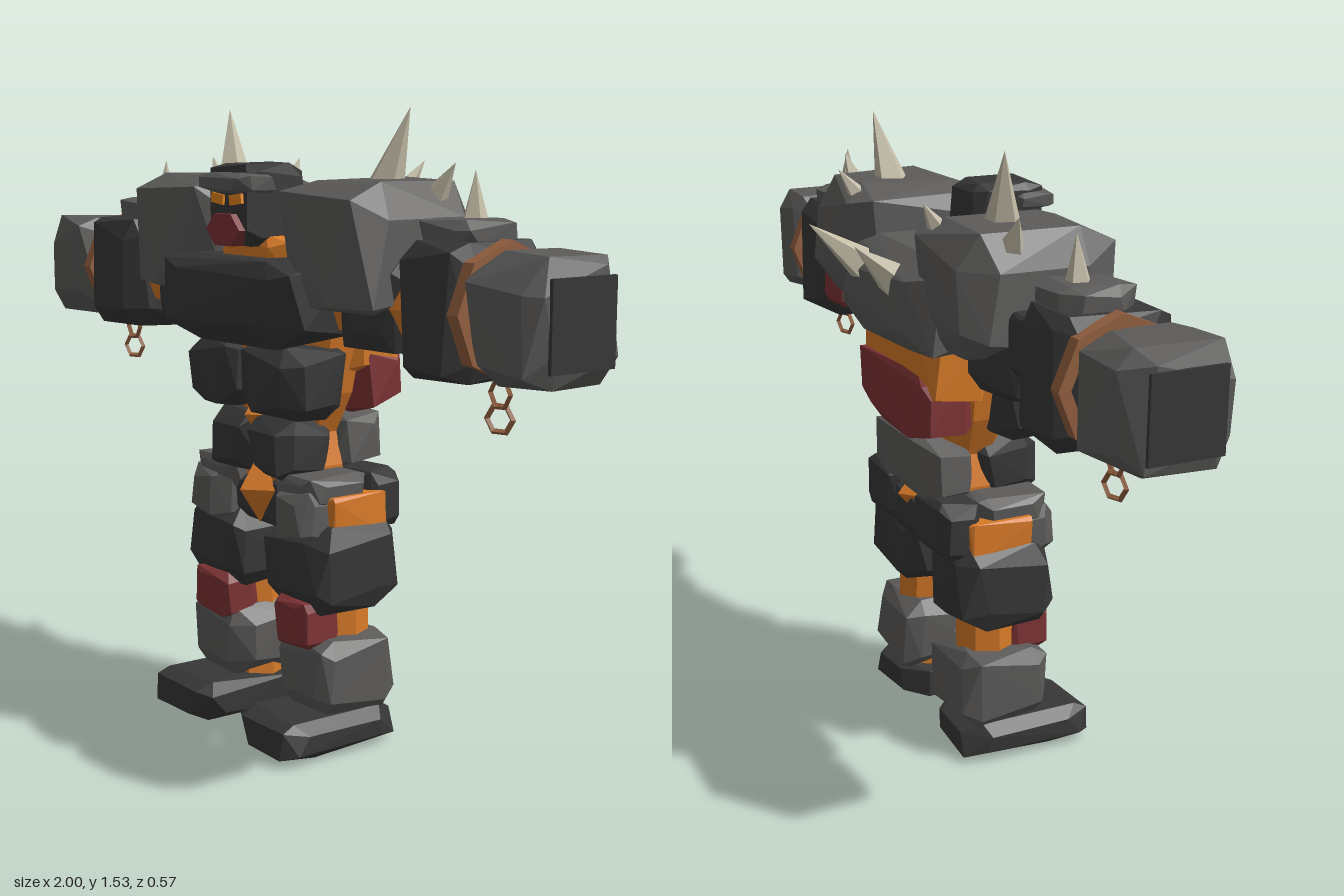
import * as THREE from 'three';
import { ConvexGeometry } from 'three/addons/geometries/ConvexGeometry.js';

const paint = (name, color) => {
  const m = new THREE.MeshStandardMaterial({ color, flatShading: true });
  m.name = name;
  return m;
};

function seeded(seed) {
  let s = seed * 7919 + 17;
  return () => (s = (s * 16807) % 2147483647) / 2147483647;
}

export function createModel() {
  const model = new THREE.Group();
  model.name = 'rockGolem';
  const dark = paint('darkRock', 0x373737);
  const grey = paint('greyRock', 0x5c5b5a);
  const red = paint('redRock', 0x7e3335);
  const lava = paint('lavaOrange', 0xd77a28);
  const bone = paint('bone', 0xc4bda8);
  const copper = paint('copper', 0x936040);
  const glow = paint('eyeGlow', 0xe8861c);

  const add = (name, geometry, material) => {
    const mesh = new THREE.Mesh(geometry, material);
    mesh.name = name;
    model.add(mesh);
    return mesh;
  };

  // Chipped boulder: hull of a box whose corners are cut off unevenly
  let count = 0;
  function rock(name, material, x, y, z, side = 1, chip = 0.2) {
    const rnd = seeded(++count);
    for (let i = 0; i < 5; i++) rnd();
    const lo = [x[0], y[0], z[0]], hi = [x[1], y[1], z[1]];
    const points = [];
    for (let corner = 0; corner < 8; corner++) {
      for (let face = 0; face < 3; face++) {
        const p = lo.map((_, a) => {
          const size = hi[a] - lo[a];
          const inset = size * (a === face ? 0.035 * rnd() : chip * (0.4 + 1.2 * rnd()));
          return (corner >> a) & 1 ? hi[a] - inset : lo[a] + inset;
        });
        points.push(new THREE.Vector3(p[0] * side, p[1], p[2]));
      }
    }
    return add(name, new ConvexGeometry(points), material);
  }

  // Cylinder or cone running from a to b
  function limb(name, material, a, b, r0, r1, sides) {
    const from = new THREE.Vector3(...a), to = new THREE.Vector3(...b);
    const dir = to.clone().sub(from);
    const mesh = add(name, new THREE.CylinderGeometry(r1, r0, dir.length(), sides), material);
    mesh.position.copy(from).add(to).multiplyScalar(0.5);
    mesh.quaternion.setFromUnitVectors(new THREE.Vector3(0, 1, 0), dir.normalize());
    return mesh;
  }

  function gem(y, z, w, h, d) {
    const mesh = add('lavaGem', new THREE.OctahedronGeometry(1, 0), lava);
    mesh.scale.set(w, h, d);
    mesh.position.set(0, y, z);
  }

  // Head
  rock('head', dark, [-0.088, 0.088], [1.21, 1.41], [0.05, 0.235], 1, 0.15);
  rock('brow', grey, [-0.1, 0.1], [1.335, 1.385], [0.15, 0.262]);
  const jaw = add('jaw', new THREE.CylinderGeometry(0.07, 0.07, 0.12, 6), red);
  jaw.rotation.x = Math.PI / 2;
  jaw.rotation.y = Math.PI / 2;
  jaw.scale.x = 0.62;
  jaw.position.set(0, 1.25, 0.19);
  for (const s of [-1, 1]) {
    const eye = add('eye', new THREE.BoxGeometry(0.05, 0.024, 0.009), glow);
    eye.position.set(0.038 * s, 1.322, 0.235);
    eye.rotation.z = 0.12 * s;
  }
  limb('neck', lava, [0, 1.1, 0.045], [0, 1.29, 0.05], 0.1, 0.07, 8);

  // Molten core showing between the boulders
  const core = [[0.001, 0.56], [0.15, 0.56], [0.16, 0.68], [0.14, 0.76], [0.19, 0.86],
    [0.22, 1.0], [0.2, 1.12], [0.1, 1.22], [0.001, 1.22]];
  const coreMesh = add('lavaCore',
    new THREE.LatheGeometry(core.map(p => new THREE.Vector2(...p)), 10), lava);
  coreMesh.scale.z = 0.68;
  coreMesh.position.z = 0.04;
  rock('collarLava', lava, [-0.13, 0.13], [1.12, 1.24], [0.04, 0.19]);
  rock('backLava', lava, [-0.22, 0.23], [0.9, 1.09], [-0.128, 0.02], 1, 0.12);

  // Torso
  rock('chest', dark, [-0.28, 0.28], [0.975, 1.19], [0.02, 0.265], 1, 0.18);
  rock('upperBack', grey, [-0.3, 0.3], [1.04, 1.275], [-0.19, 0.07], 1, 0.22);
  rock('midBack', red, [-0.21, 0.23], [0.8, 0.99], [-0.138, 0.0]);
  rock('lowerBack', grey, [-0.17, 0.17], [0.655, 0.815], [-0.12, 0.02]);
  rock('pelvis', dark, [-0.19, 0.19], [0.51, 0.66], [-0.1, 0.15]);
  gem(0.615, 0.145, 0.066, 0.09, 0.06);
  gem(0.8, 0.14, 0.06, 0.07, 0.05);
  gem(0.94, 0.14, 0.055, 0.08, 0.05);
  gem(0.635, -0.085, 0.04, 0.04, 0.035);

  for (const s of [1, -1]) {
    count = 20; // same chips on both sides
    // Belly
    rock('upperBelly', dark, [0.004, 0.24], [0.805, 0.985], [0.04, 0.225], s, 0.2);
    rock('lowerBelly', dark, [0.004, 0.165], [0.65, 0.805], [0.03, 0.2], s, 0.2);

    // Leg
    rock('hipGuard', grey, [0.1, 0.25], [0.505, 0.645], [0.06, 0.2], s);
    rock('hipTop', grey, [0.08, 0.255], [0.59, 0.675], [-0.01, 0.185], s);
    rock('hipBack', dark, [0.06, 0.255], [0.53, 0.675], [-0.11, 0.01], s);
    rock('hipLava', lava, [0.1, 0.27], [0.52, 0.628], [-0.045, 0.125], s, 0.08);
    rock('thigh', dark, [0.045, 0.295], [0.34, 0.562], [-0.08, 0.185], s, 0.2);
    limb('kneeLava', lava, [0.175 * s, 0.22, 0.04], [0.175 * s, 0.4, 0.04], 0.08, 0.075, 8);
    rock('kneeCap', red, [0.1, 0.245], [0.255, 0.375], [0.075, 0.192], s, 0.16);
    rock('shin', grey, [0.06, 0.292], [0.09, 0.285], [-0.068, 0.17], s, 0.18);
    limb('ankleLava', lava, [0.165 * s, 0.06, 0.05], [0.165 * s, 0.13, 0.05], 0.085, 0.085, 8);
    rock('foot', dark, [0.06, 0.305], [0, 0.1], [-0.068, 0.285], s, 0.2);

    // Arm
    rock('shoulder', grey, [0.13, 0.49], [1.07, 1.375], [-0.165, 0.22], s, 0.2);
    limb('armLava', lava, [0.18 * s, 1.09, 0.045], [0.75 * s, 1.1, 0.045], 0.09, 0.085, 8);
    rock('upperArm', dark, [0.28, 0.52], [0.99, 1.2], [-0.08, 0.14], s);
    rock('elbow', dark, [0.42, 0.56], [1.06, 1.21], [-0.07, 0.045], s, 0.12);
    if (s > 0) rock('elbowPlate', red, [0.42, 0.545], [1.01, 1.17], [-0.1, 0.0], s, 0.14);
    rock('forearm', dark, [0.54, 0.76], [0.95, 1.255], [-0.095, 0.185], s, 0.15);
    rock('forearmCap', grey, [0.55, 0.72], [1.225, 1.3], [-0.06, 0.13], s);
    rock('fist', grey, [0.77, 0.998], [0.965, 1.245], [-0.075, 0.195], s, 0.19);
    const knuckles = add('knuckleFace', new THREE.BoxGeometry(0.009, 0.19, 0.18), dark);
    knuckles.position.set(0.9955 * s, 1.105, 0.06);

    // Wrist band with two hanging links
    const profile = [[0.12, -0.017], [0.15, -0.017], [0.15, 0.017], [0.12, 0.017], [0.12, -0.017]];
    const band = add('wristBand',
      new THREE.LatheGeometry(profile.map(p => new THREE.Vector2(...p)), 8), copper);
    band.rotation.z = Math.PI / 2;
    band.position.set(0.758 * s, 1.11, 0.045);
    [0.935, 0.88].forEach((y, i) => {
      const link = add('chainLink', new THREE.TorusGeometry(0.031, 0.007, 4, 6), copper);
      link.position.set(0.752 * s, y, 0.05);
      link.rotation.y = i * 0.35;
    });

    // Spikes: base, tip, radius
    const spikes = [
      [[0.3, 1.33, 0.01], [0.365, 1.535, -0.02], 0.052],
      [[0.425, 1.32, -0.035], [0.49, 1.412, -0.048], 0.036],
      [[0.63, 1.27, 0.02], [0.625, 1.4, 0.015], 0.036],
      [[0.225, 1.32, -0.1], [0.25, 1.412, -0.163], 0.036],
      [[0.09, 1.2, -0.16], [0.143, 1.305, -0.285], 0.046],
    ];
    for (const [a, b, r] of spikes) {
      limb('spike', bone, [a[0] * s, a[1], a[2]], [b[0] * s, b[1], b[2]], r, 0, 5);
    }
  }
  return model;
}
